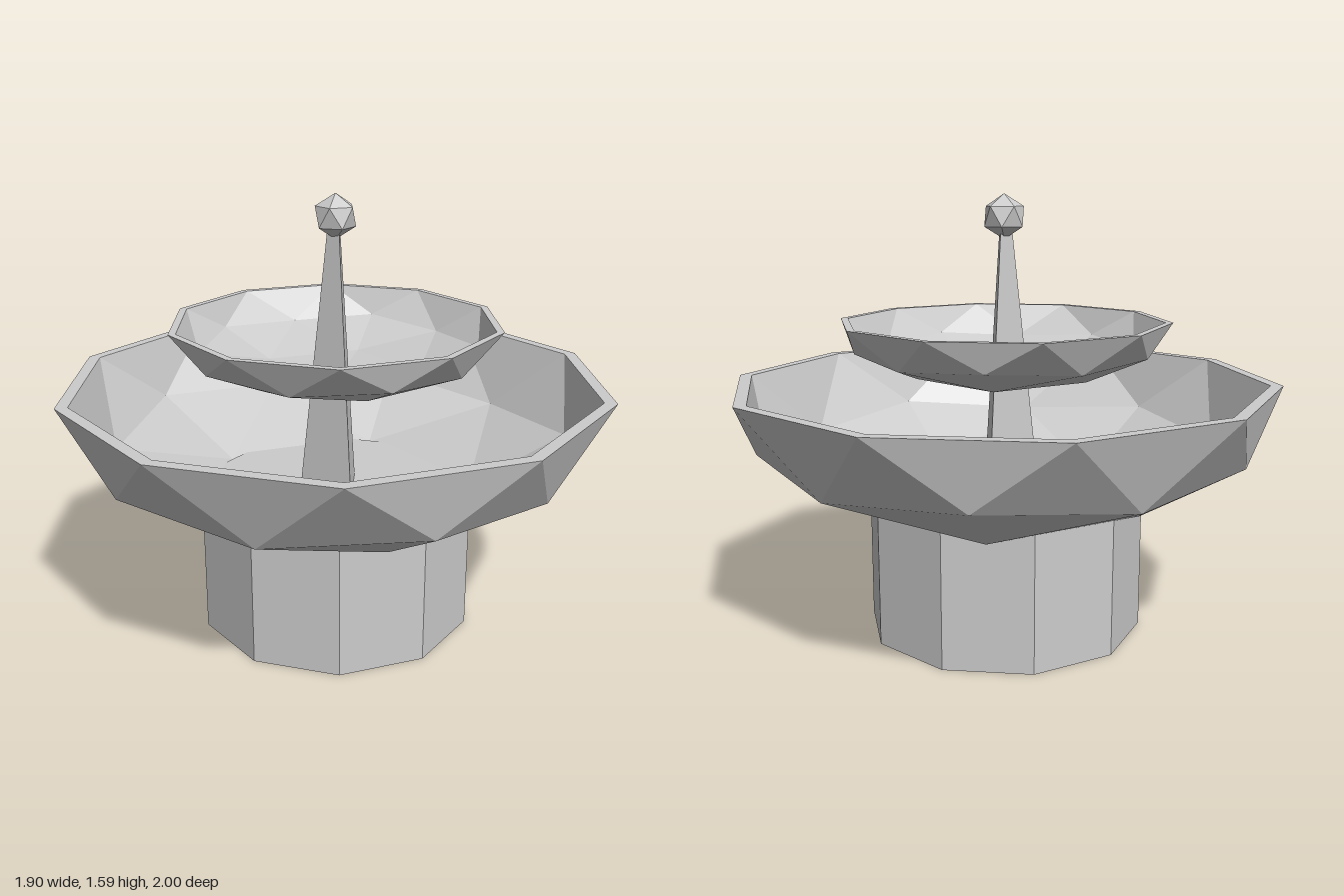
import * as THREE from 'three';

const material = new THREE.MeshStandardMaterial({ color: 0xcccccc, flatShading: true });

function addMesh(parent, name, geometry, y = 0) {
  const mesh = new THREE.Mesh(geometry, material);
  mesh.name = name;
  mesh.position.y = y;
  parent.add(mesh);
  return mesh;
}

// Icosphere standing on one of its corners
function icosphere(radius, detail) {
  const golden = (1 + Math.sqrt(5)) / 2;
  return new THREE.IcosahedronGeometry(radius, detail).rotateZ(-Math.atan(1 / golden));
}

// Lower half of a faceted sphere, squashed to a depth; inward turns its faces to the inside
function halfShell(radius, depth, inward) {
  const p = icosphere(1, 1).getAttribute('position');
  const points = [];
  for (let i = 0; i < p.count; i += 3) {
    const corners = [0, 1, 2].map((k) => new THREE.Vector3().fromBufferAttribute(p, i + k));
    if (corners.some((c) => c.y > 0.01)) continue;
    if (inward) corners.reverse();
    for (const c of corners) points.push(c.x * radius, c.y * depth, c.z * radius);
  }
  const geometry = new THREE.BufferGeometry();
  geometry.setAttribute('position', new THREE.Float32BufferAttribute(points, 3));
  geometry.computeVertexNormals();
  return geometry;
}

// Bowl made of an outer shell, an inner shell and a flat ten-sided rim
function bowl(name, radius, depth, innerScale, rimY) {
  const group = new THREE.Group();
  group.name = name;
  group.position.y = rimY;
  addMesh(group, name + 'Outside', halfShell(radius, depth, false));
  addMesh(group, name + 'Inside', halfShell(radius * innerScale, depth * innerScale, true));
  const rim = new THREE.RingGeometry(radius * innerScale, radius, 10, 1, Math.PI / 10);
  addMesh(group, name + 'Rim', rim.rotateX(-Math.PI / 2));
  return group;
}

export function createModel() {
  const model = new THREE.Group();
  model.name = 'fountain';

  // Ten-sided pedestal
  addMesh(model, 'pedestal', new THREE.CylinderGeometry(0.51, 0.51, 0.5, 10), 0.25);

  // Two basins
  model.add(bowl('lowerBasin', 1, 0.53, 0.955, 0.92));
  model.add(bowl('upperBasin', 0.605, 0.24, 0.955, 1.14));

  // Tapered three-sided pillar with a faceted ball on top
  addMesh(model, 'pillar', new THREE.CylinderGeometry(0.025, 0.136, 1.05, 3).rotateY(Math.PI), 0.975);
  addMesh(model, 'finial', icosphere(0.08, 0), 1.51);

  return model;
}
